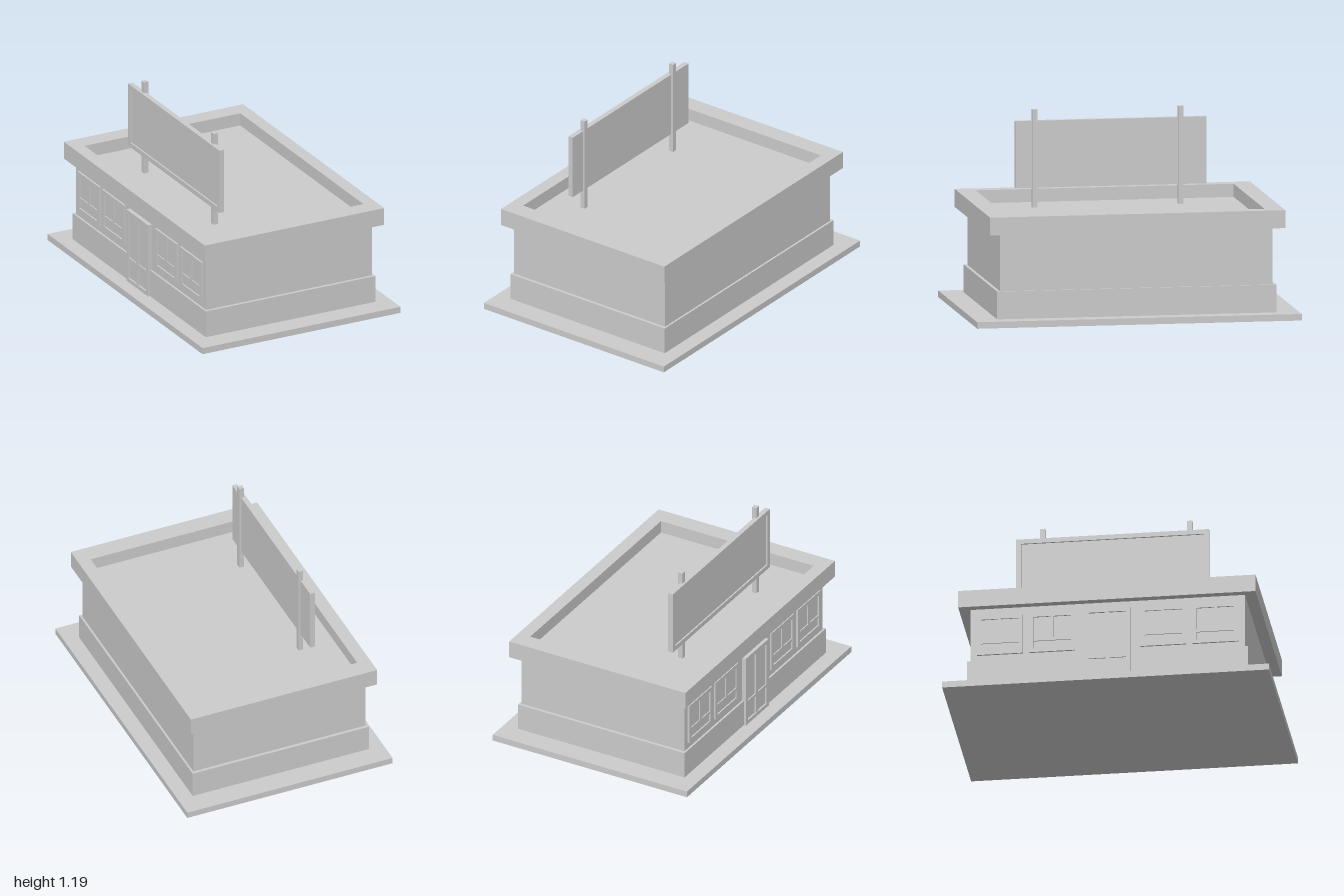
import * as THREE from 'three';

const material = new THREE.MeshStandardMaterial({ color: 0xcccccc, flatShading: true });

function add(parent, name, geometry) {
  const mesh = new THREE.Mesh(geometry, material);
  mesh.name = name;
  parent.add(mesh);
  return mesh;
}

// Box given by its min and max along each axis
function block(parent, name, [x0, x1], [y0, y1], [z0, z1]) {
  const mesh = add(parent, name, new THREE.BoxGeometry(x1 - x0, y1 - y0, z1 - z0));
  mesh.position.set((x0 + x1) / 2, (y0 + y1) / 2, (z0 + z1) / 2);
  return mesh;
}

// Rectangular ring in the XY plane, extruded along +z
function ring(w, h, bx, by, depth) {
  const rect = (path, a, b) => path.moveTo(-a, -b).lineTo(a, -b).lineTo(a, b).lineTo(-a, b).closePath();
  const shape = rect(new THREE.Shape(), w / 2, h / 2);
  shape.holes.push(rect(new THREE.Path(), w / 2 - bx, h / 2 - by));
  return new THREE.ExtrudeGeometry(shape, { depth, bevelEnabled: false });
}

// Upright frame facing -x, running from xBack out to xFront
function sideFrame(parent, name, xBack, xFront, [y0, y1], [z0, z1], border) {
  const geometry = ring(z1 - z0, y1 - y0, border, border, xBack - xFront).rotateY(-Math.PI / 2);
  add(parent, name, geometry).position.set(xBack, (y0 + y1) / 2, (z0 + z1) / 2);
}

function group(parent, name) {
  const g = new THREE.Group();
  g.name = name;
  parent.add(g);
  return g;
}

export function createModel() {
  const model = new THREE.Group();
  model.name = 'shopBuilding';

  // Pavement, plinth and walls; the top of the walls is the sunken roof deck
  block(model, 'pavement', [-0.68, 0.68], [0, 0.04], [-1, 1]);
  block(model, 'plinth', [-0.583, 0.583], [0.04, 0.21], [-0.86, 0.86]);
  block(model, 'wallsAndRoofDeck', [-0.57, 0.57], [0.21, 0.59], [-0.84, 0.84]);

  // Overhanging parapet
  const parapet = add(model, 'parapet', ring(1.234, 1.82, 0.082, 0.115, 0.11).rotateX(-Math.PI / 2));
  parapet.position.y = 0.56;

  // Windows: a low pane with two panes above
  for (const z of [-0.66, -0.34, 0.34, 0.66]) {
    const win = group(model, 'window');
    sideFrame(win, 'windowFrame', -0.565, -0.582, [0.25, 0.51], [z - 0.14, z + 0.14], 0.025);
    block(win, 'windowPane', [-0.573, -0.56], [0.27, 0.49], [z - 0.12, z + 0.12]);
    block(win, 'windowRail', [-0.58, -0.565], [0.325, 0.345], [z - 0.116, z + 0.116]);
    block(win, 'windowMullion', [-0.58, -0.565], [0.345, 0.486], [z - 0.01, z + 0.01]);
  }

  // Double door
  const door = group(model, 'door');
  sideFrame(door, 'doorFrame', -0.565, -0.597, [0.04, 0.51], [-0.14, 0.14], 0.025);
  block(door, 'doorPane', [-0.586, -0.56], [0.05, 0.5], [-0.13, 0.13]);
  block(door, 'doorMullion', [-0.594, -0.58], [0.06, 0.49], [-0.012, 0.012]);
  block(door, 'doorRail', [-0.594, -0.58], [0.18, 0.2], [-0.116, 0.116]);

  // Rooftop sign board with a raised rim, on two posts
  const sign = group(model, 'roofSign');
  block(sign, 'signBoard', [-0.335, -0.313], [0.71, 1.12], [-0.59, 0.59]);
  sideFrame(sign, 'signRim', -0.335, -0.345, [0.71, 1.12], [-0.59, 0.59], 0.03);
  for (const z of [-0.43, 0.47]) {
    block(sign, 'signPost', [-0.33, -0.3], [0.58, 1.19], [z - 0.016, z + 0.016]);
  }

  return model;
}
